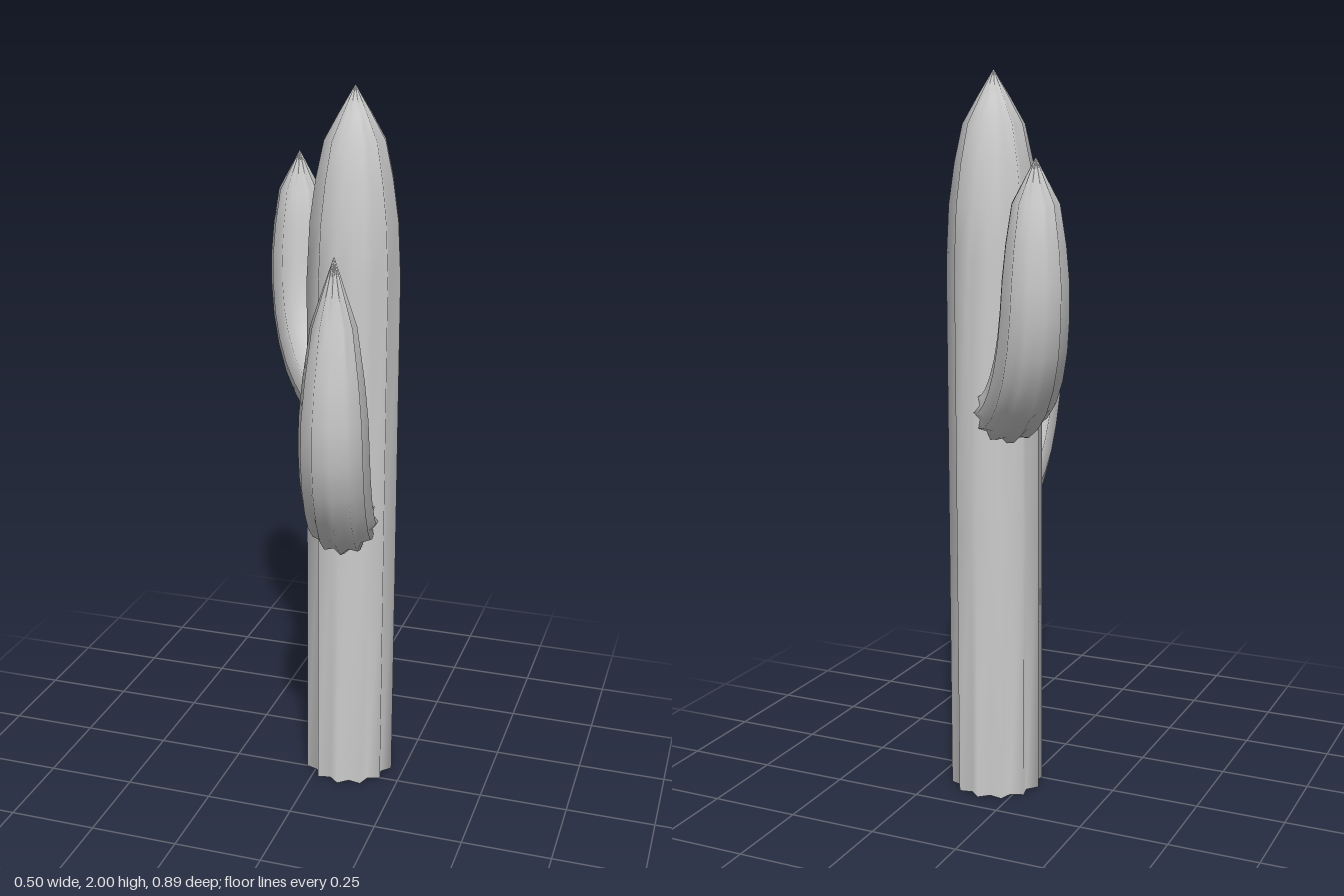
import * as THREE from 'three';

const RIBS = 12;
const NOTCH = 0.84; // groove radius relative to ridge radius

// Ribbed open tube along stations [r, y, radius] in the vertical plane facing `angle`
function ribbedTube(stations, angle) {
  const n = RIBS * 2;
  const out = new THREE.Vector3(Math.cos(angle), 0, Math.sin(angle));
  const side = new THREE.Vector3(-Math.sin(angle), 0, Math.cos(angle));
  const up = new THREE.Vector3(0, 1, 0);
  const pos = [], idx = [];
  stations.forEach(([r, y, radius], i) => {
    const a = stations[Math.max(i - 1, 0)], b = stations[Math.min(i + 1, stations.length - 1)];
    const tangent = new THREE.Vector2(b[0] - a[0], b[1] - a[1]).normalize();
    const centre = out.clone().multiplyScalar(r).addScaledVector(up, y);
    // in-plane axis perpendicular to the path
    const across = out.clone().multiplyScalar(tangent.y).addScaledVector(up, -tangent.x);
    for (let k = 0; k < n; k++) {
      const t = (k / n) * Math.PI * 2;
      const R = radius * (k % 2 ? NOTCH : 1);
      const p = centre.clone()
        .addScaledVector(across, Math.cos(t) * R)
        .addScaledVector(side, Math.sin(t) * R);
      pos.push(p.x, p.y, p.z);
      if (i > 0) {
        const k2 = (k + 1) % n, lo = (i - 1) * n, hi = i * n;
        idx.push(lo + k, hi + k, lo + k2, lo + k2, hi + k, hi + k2);
      }
    }
  });
  const g = new THREE.BufferGeometry();
  g.setAttribute('position', new THREE.Float32BufferAttribute(pos, 3));
  g.setIndex(idx);
  g.computeVertexNormals();
  return g;
}

export function createModel() {
  const group = new THREE.Group();
  const skin = new THREE.MeshStandardMaterial({ color: 0xcccccc, side: THREE.DoubleSide });
  skin.name = 'cactus grey';

  const add = (name, stations, angle) => {
    const mesh = new THREE.Mesh(ribbedTube(stations, angle), skin);
    mesh.name = name;
    mesh.position.set(0.084, 0, -0.064);
    group.add(mesh);
  };

  // Upright trunk with a pointed top
  add('trunk', [
    [0, 0, 0.13], [0, 0.75, 0.13], [0, 1.5, 0.13], [0, 1.65, 0.122],
    [0, 1.76, 0.106], [0, 1.86, 0.084], [0, 1.93, 0.044], [0, 2, 0.001],
  ], 0);

  // Lower arm, reaching forward
  add('frontArm', [
    [0.075, 0.82, 0.083], [0.15, 0.84, 0.086], [0.22, 0.87, 0.09], [0.29, 0.92, 0.092],
    [0.35, 0.985, 0.092], [0.395, 1.06, 0.092], [0.42, 1.14, 0.091], [0.43, 1.23, 0.088],
    [0.431, 1.33, 0.078], [0.431, 1.47, 0.058], [0.431, 1.64, 0.001],
  ], Math.atan2(0.424, 0.075));

  // Higher arm, reaching back and to the right
  add('backArm', [
    [0.08, 1.1, 0.085], [0.15, 1.115, 0.088], [0.21, 1.145, 0.09], [0.27, 1.19, 0.092],
    [0.32, 1.25, 0.092], [0.355, 1.32, 0.091], [0.375, 1.4, 0.089], [0.383, 1.48, 0.086],
    [0.385, 1.57, 0.077], [0.385, 1.67, 0.061], [0.385, 1.78, 0.001],
  ], Math.atan2(-0.292, -0.25));

  return group;
}
